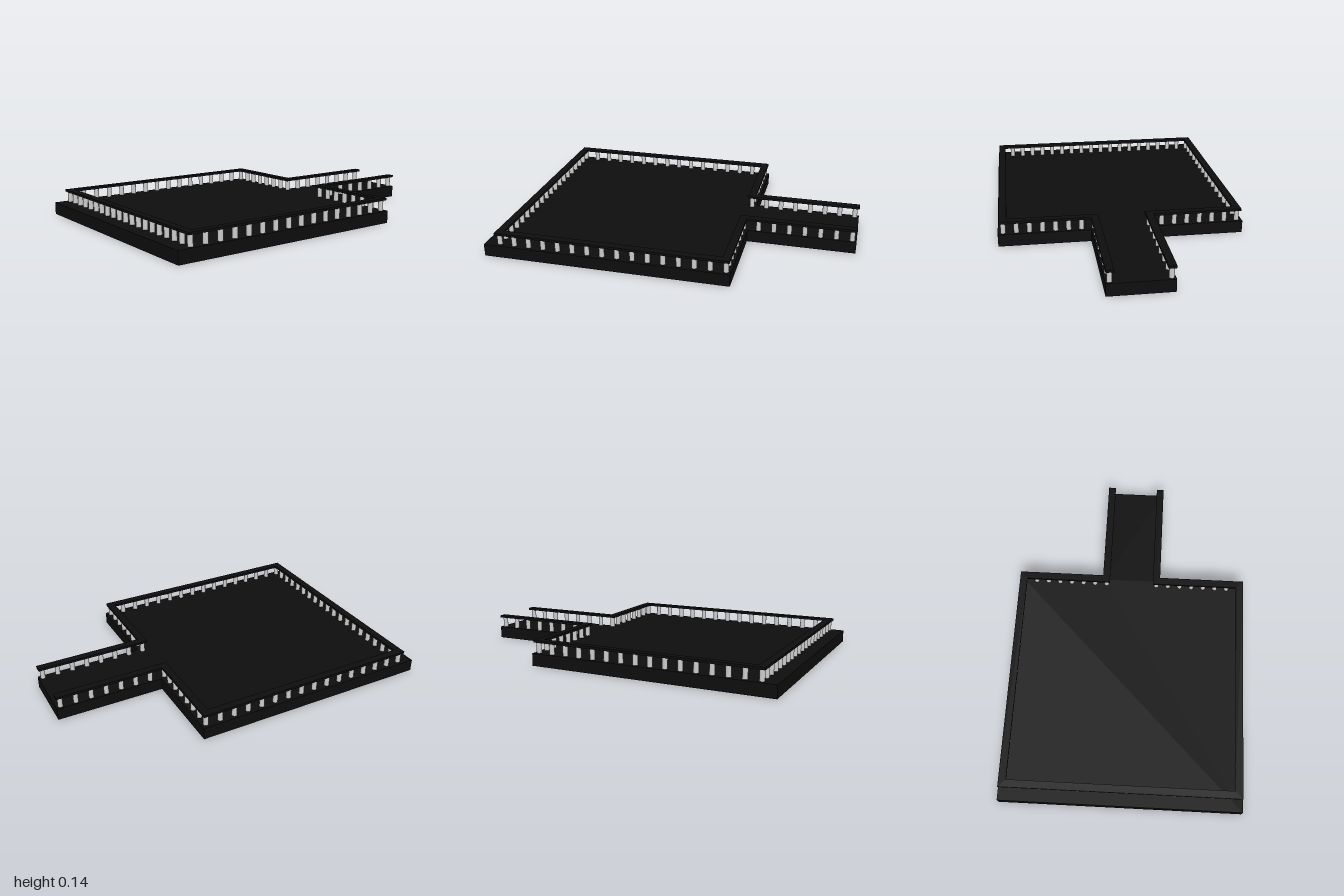
import * as THREE from 'three';

const BASE_TOP = 0.07, RAIL_BOTTOM = 0.13, RAIL_TOP = 0.143;

// Vertical-sided slab from a plan outline of [x, z] points
function slab(name, outline, bottom, top, material) {
  const shape = new THREE.Shape(outline.map(([x, z]) => new THREE.Vector2(x, z)));
  const geometry = new THREE.ExtrudeGeometry(shape, { depth: top - bottom, bevelEnabled: false });
  geometry.rotateX(Math.PI / 2);
  const mesh = new THREE.Mesh(geometry, material);
  mesh.name = name;
  mesh.position.y = top;
  return mesh;
}

// Mirrors the +x half of an outline to the -x side
const mirrored = (half) => [...half, ...half.map(([x, z]) => [-x, z]).reverse()];

export function createModel() {
  const model = new THREE.Group();
  model.name = 'balustradeTerrace';
  const black = new THREE.MeshStandardMaterial({ color: 0x0d0d0d });
  black.name = 'black';
  const paleGrey = new THREE.MeshStandardMaterial({ color: 0xcccccc });
  paleGrey.name = 'paleGrey';

  // Square terrace with a narrow walkway at the back
  const floor = mirrored([[0.175, -1], [0.175, -0.385], [0.69, -0.385], [0.69, 1]]);
  model.add(slab('terraceBase', floor, 0, BASE_TOP, black));

  // Handrail follows the edge and stays open at the walkway end
  const outer = mirrored([[0.175, -1], [0.175, -0.38], [0.682, -0.38], [0.682, 0.936]]);
  const inner = mirrored([[0.132, -1], [0.132, -0.337], [0.639, -0.337], [0.639, 0.893]]);
  model.add(slab('handrail', [...outer, ...inner.reverse()], RAIL_BOTTOM, RAIL_TOP, black));

  // Balusters, spaced evenly along each run
  const balusters = new THREE.Group();
  balusters.name = 'balusters';
  const height = RAIL_BOTTOM - BASE_TOP;
  const postGeometry = new THREE.CylinderGeometry(0.014, 0.014, height, 16);
  function addPost(x, z) {
    const post = new THREE.Mesh(postGeometry, paleGrey);
    post.name = 'baluster';
    post.position.set(x, BASE_TOP + height / 2, z);
    balusters.add(post);
  }
  // Places posts from a to b, leaving out b itself
  function addRun([ax, az], [bx, bz], steps) {
    for (let i = 0; i < steps; i++) {
      const t = i / steps;
      addPost(ax + (bx - ax) * t, az + (bz - az) * t);
    }
  }
  for (const s of [1, -1]) {
    addRun([s * 0.154, -0.975], [s * 0.154, -0.359], 7);
    addRun([s * 0.154, -0.359], [s * 0.66, -0.359], 7);
    addRun([s * 0.66, -0.359], [s * 0.66, 0.915], 15);
  }
  addRun([-0.66, 0.915], [0.66, 0.915], 19);
  addPost(0.66, 0.915);
  model.add(balusters);

  return model;
}
